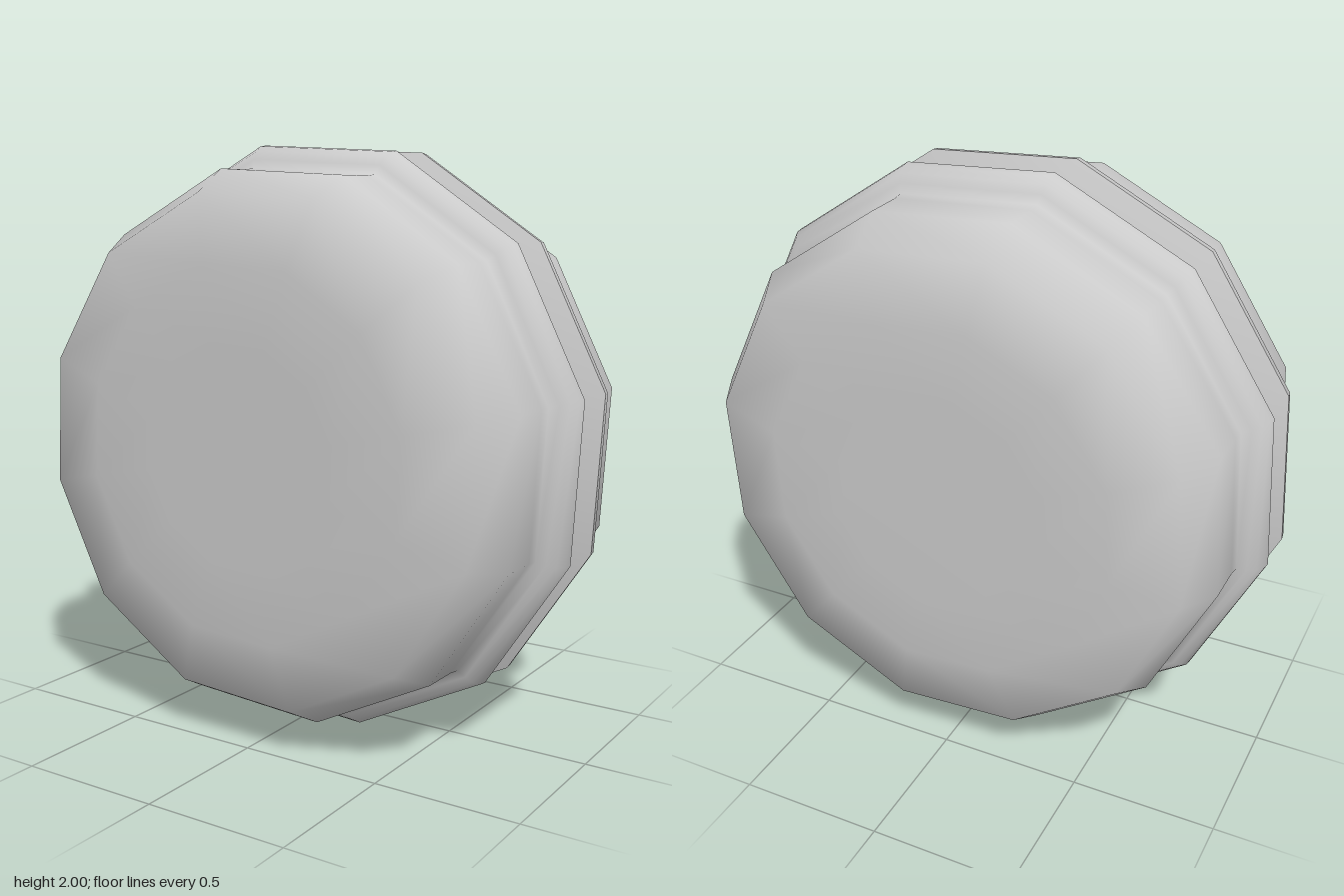
import * as THREE from 'three';

const SIDES = 12;
const TURN = THREE.MathUtils.degToRad(11.7);

// Half-biscuit profile [radius, z], from the rim crest out to the face centre
const SHELL = [
  [1.012, 0.085], [1.008, 0.115], [0.99, 0.145], [0.962, 0.165], [0.932, 0.18],
  [0.927, 0.22], [0.926, 0.36], [0.848, 0.5], [0.62, 0.544], [0.36, 0.545], [0, 0.545],
];
// Underside of the rim, from the filling out to the crest
const UNDERSIDE = [[0.6, 0.036], [0.9, 0.036], [0.925, 0.042], [1.012, 0.085]];
const FILLING = [[0.862, -0.06], [0.862, 0.06]];

export function createModel() {
  const model = new THREE.Group();
  model.name = 'macaron';
  const material = new THREE.MeshStandardMaterial({ color: 0xcccccc });

  // Turn a profile about the z axis; side -1 mirrors it to the back
  const turned = (name, profile, side, parent) => {
    const points = profile.map(([r, z]) => new THREE.Vector2(r, z * side));
    if (side < 0) points.reverse();
    const geometry = new THREE.LatheGeometry(points, SIDES, TURN);
    geometry.rotateX(Math.PI / 2);
    geometry.scale(1, 1.01, 1);
    geometry.translate(0, 1, 0);
    const mesh = new THREE.Mesh(geometry, material);
    mesh.name = name;
    parent.add(mesh);
  };

  // Two matching biscuits, each a domed shell with a ruffled rim
  for (const [name, side] of [['frontBiscuit', 1], ['backBiscuit', -1]]) {
    const biscuit = new THREE.Group();
    biscuit.name = name;
    turned('shell', SHELL, side, biscuit);
    turned('rimUnderside', UNDERSIDE, side, biscuit);
    model.add(biscuit);
  }

  // Recessed filling between the biscuits
  turned('filling', FILLING, 1, model);
  return model;
}
